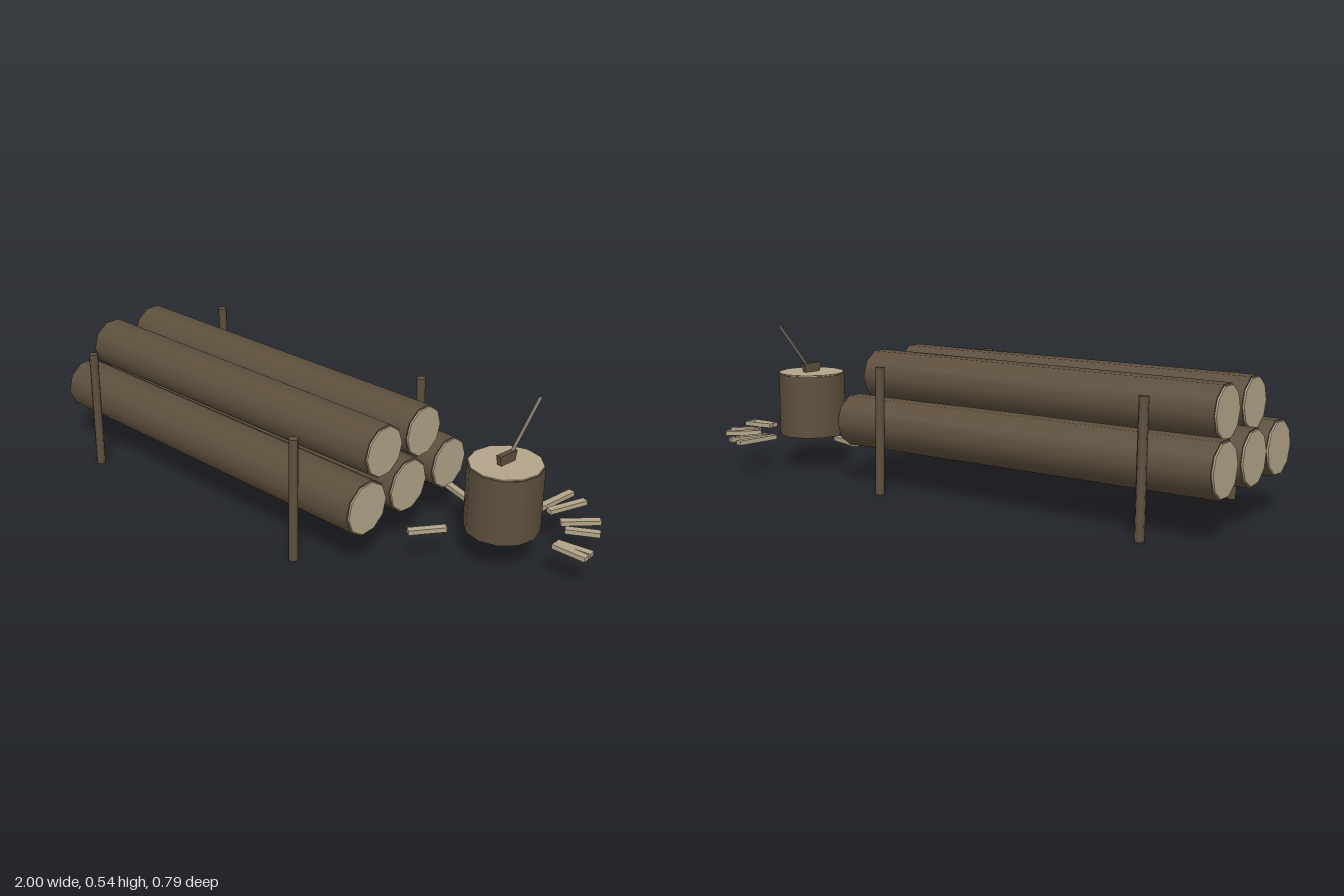
import * as THREE from 'three';

const mat = (name, color) => {
  const m = new THREE.MeshStandardMaterial({ color });
  m.name = name;
  return m;
};

export function createModel() {
  const bark = mat('bark', 0x5e4f3d);
  const cutWood = mat('cut wood', 0xb3a589);
  const handleWood = mat('weathered handle', 0x746a5e);

  const model = new THREE.Group();
  model.name = 'woodpile';
  const add = (parent, name, geometry, material) => {
    const mesh = new THREE.Mesh(geometry, material);
    mesh.name = name;
    parent.add(mesh);
    return mesh;
  };
  // Cylinder running between two points
  const rod = (parent, name, a, b, radius, sides, material) => {
    const from = new THREE.Vector3(...a), to = new THREE.Vector3(...b);
    const dir = to.clone().sub(from);
    const mesh = add(parent, name, new THREE.CylinderGeometry(radius, radius, dir.length(), sides), material);
    mesh.position.copy(from).add(to).multiplyScalar(0.5);
    mesh.quaternion.setFromUnitVectors(new THREE.Vector3(0, 1, 0), dir.normalize());
    return mesh;
  };

  // Stacked logs: [x0, x1, y, z, radius, yaw, roll]
  const logs = [
    [-0.995, 0.405, 0.22, 0.255, 0.093, -0.008, 0.05],
    [-0.995, 0.405, 0.22, 0.06, 0.093, 0, -0.08],
    [-0.995, 0.405, 0.22, -0.149, 0.091, 0.005, 0],
    [-0.95, 0.382, 0.37, 0.155, 0.089, 0, 0],
    [-0.95, 0.382, 0.37, -0.04, 0.089, 0, 0],
  ];
  for (const [x0, x1, y, z, r, yaw, roll] of logs) {
    const log = new THREE.Group();
    log.name = 'log';
    log.position.set((x0 + x1) / 2, y, z);
    log.rotation.set(roll, yaw, 0);
    const len = x1 - x0;
    add(log, 'logBark', new THREE.CylinderGeometry(r, r, len, 10).rotateZ(Math.PI / 2), bark);
    // Pale sawn faces standing slightly proud of both ends
    for (const s of [-1, 1]) {
      const cap = add(log, 'logEnd', new THREE.CylinderGeometry(r * 0.94, r * 0.94, 0.008, 10).rotateZ(Math.PI / 2), cutWood);
      cap.position.x = s * (len / 2 + 0.002);
    }
    model.add(log);
  }

  // Stakes holding the stack, leaning slightly inward
  for (const x of [-0.79, 0.2]) {
    rod(model, 'frontStake', [x, 0, 0.378], [x, 0.432, 0.37], 0.016, 7, bark);
    rod(model, 'backStake', [x, 0, -0.264], [x, 0.432, -0.256], 0.016, 7, bark);
  }

  // Chopping block
  const block = new THREE.Group();
  block.name = 'choppingBlock';
  block.position.set(0.69, 0, -0.067);
  add(block, 'blockBark', new THREE.CylinderGeometry(0.123, 0.123, 0.225, 12), bark).position.y = 0.2385;
  add(block, 'blockTop', new THREE.CylinderGeometry(0.119, 0.119, 0.008, 12), cutWood).position.y = 0.351;
  model.add(block);

  // Axe stuck in the block
  const axe = new THREE.Group();
  axe.name = 'axe';
  axe.position.set(0.69, 0.354, -0.068);
  axe.rotation.y = -0.12;
  const profile = new THREE.Shape([[-0.039, 0.034], [-0.031, -0.004], [0.031, -0.004], [0.039, 0.034]]
    .map(([u, v]) => new THREE.Vector2(u, v)));
  const head = new THREE.ExtrudeGeometry(profile, { depth: 0.018, bevelEnabled: false });
  head.translate(0, 0, -0.009).rotateY(Math.PI / 2);
  add(axe, 'axeHead', head, bark);
  rod(axe, 'axeHandle', [0, 0, 0], [0, 0.18, -0.142], 0.006, 7, handleWood);
  model.add(axe);

  // Scattered kindling: [x, z, length, direction x, direction z]
  const sticks = [
    [0.73, -0.315, 0.16, 4, -30],
    [0.78, -0.305, 0.145, 10, -26],
    [0.866, -0.249, 0.13, 18, -18],
    [0.905, -0.2, 0.11, 18, -10],
    [0.94, -0.096, 0.118, 22, -3],
    [0.94, -0.073, 0.118, 1, 0],
    [0.452, -0.145, 0.14, 22, 7],
    [0.537, 0.12, 0.125, 14, -18],
  ];
  for (const [x, z, len, dx, dz] of sticks) {
    const stick = add(model, 'kindling', new THREE.BoxGeometry(len, 0.016, 0.024), cutWood);
    stick.position.set(x, 0.133, z);
    stick.rotation.y = Math.atan2(-dz, dx);
  }
  return model;
}
